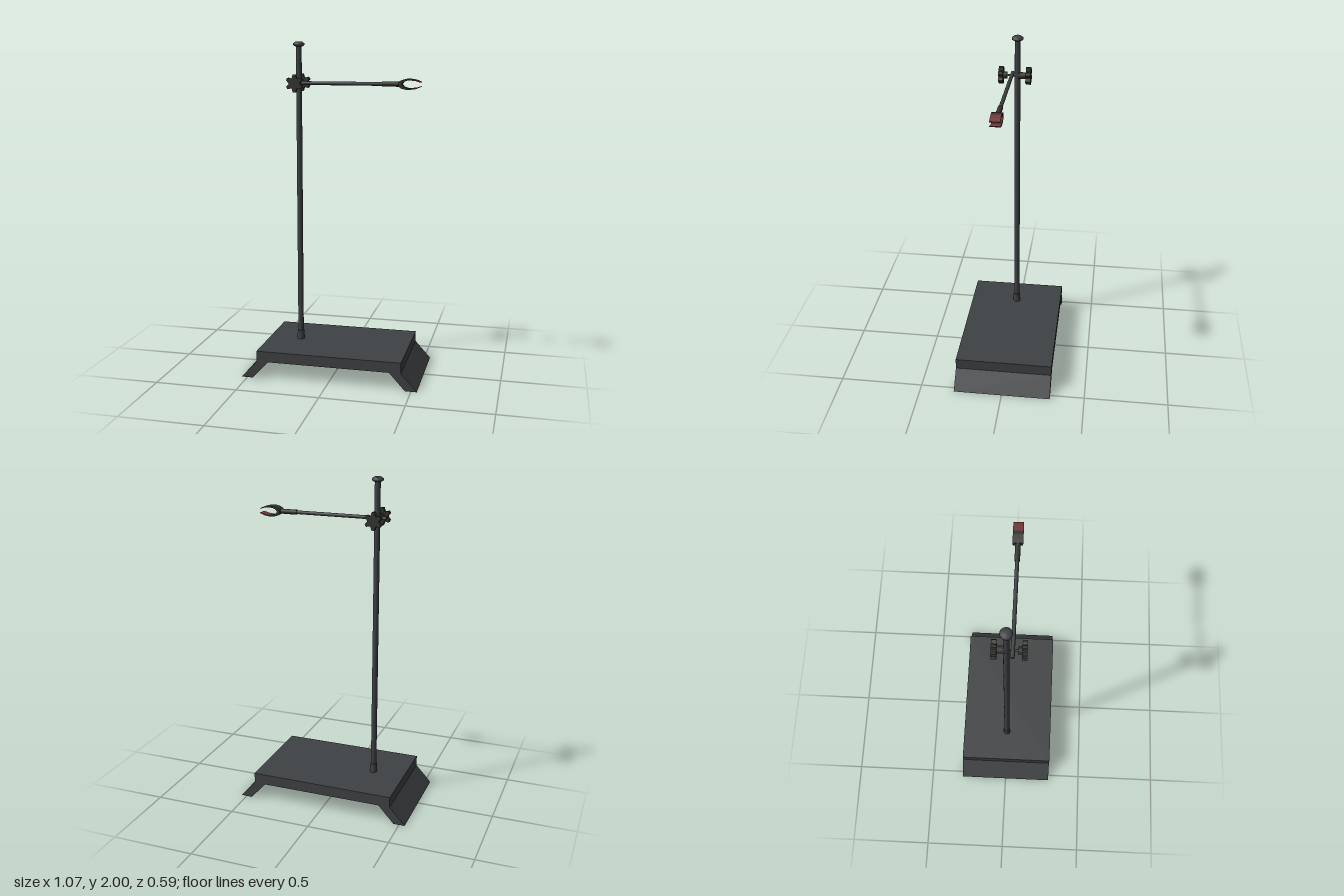
import * as THREE from 'three';

const material = (name, color) => {
  const m = new THREE.MeshStandardMaterial({ color });
  m.name = name;
  return m;
};

export function createModel() {
  const steel = material('dark grey metal', 0x3f4244);
  const black = material('blackened grip', 0x343430);
  const red = material('red padding', 0x78393a);

  const model = new THREE.Group();
  model.name = 'clampStand';
  const rodX = -0.243, rodZ = -0.003, armY = 1.76, armZ = 0.031;

  const add = (name, geometry, mat, x = 0, y = 0, z = 0, parent = model) => {
    const mesh = new THREE.Mesh(geometry, mat);
    mesh.name = name;
    mesh.position.set(x, y, z);
    parent.add(mesh);
    return mesh;
  };
  // Extrude an outline in x and y, starting at z = 0
  const prism = (points, depth) => new THREE.ExtrudeGeometry(
    new THREE.Shape(points.map(([x, y]) => new THREE.Vector2(x, y))),
    { depth, bevelEnabled: false });
  // Cylinder lying along z from z0 to z1
  const zCylinder = (r, z0, z1) => new THREE.CylinderGeometry(r, r, z1 - z0, 16)
    .rotateX(Math.PI / 2).translate(0, 0, (z0 + z1) / 2);

  // Base plate with two splayed feet
  add('basePlate', new THREE.BoxGeometry(0.88, 0.065, 0.586), steel, 0, 0.1375, 0);
  const foot = [[0.37, 0.105], [0.465, 0], [0.535, 0], [0.44, 0.105]];
  add('leftFoot', prism(foot, 0.586), steel, 0, 0, -0.293);
  add('rightFoot', prism(foot.map(([x, y]) => [-x, y]), 0.586), steel, 0, 0, -0.293);

  // Upright rod with collar and cap
  add('rod', new THREE.CylinderGeometry(0.017, 0.017, 1.81, 16), steel, rodX, 1.075, rodZ);
  add('rodCollar', new THREE.CylinderGeometry(0.021, 0.023, 0.055, 16), steel, rodX, 0.1975, rodZ);
  const cap = [[0, 1.972], [0.02, 1.972], [0.034, 1.98], [0.034, 1.99], [0.02, 2], [0, 2]];
  const capGeometry = new THREE.LatheGeometry(cap.map(([r, y]) => new THREE.Vector2(r, y)), 16);
  add('rodCap', capGeometry, steel, rodX, 0, rodZ);

  // Lobed hand knobs, front and back of the joint
  const star = [];
  for (let i = 0; i < 6; i++) {
    for (const [offset, r] of [[-0.16, 0.052], [0.16, 0.052], [0.42, 0.034], [0.63, 0.034]]) {
      const a = Math.PI / 2 + i * Math.PI / 3 + offset;
      star.push([r * Math.cos(a), r * Math.sin(a)]);
    }
  }
  const knob = (name, zStart, depth, hubStart, hubEnd) => {
    const group = new THREE.Group();
    group.name = name;
    group.position.set(rodX, armY, 0);
    add('knobWheel', prism(star, depth), black, 0, 0, zStart, group);
    add('knobHub', zCylinder(0.02, hubStart, hubEnd), black, 0, 0, 0, group);
    model.add(group);
  };
  knob('frontKnob', 0.08, 0.027, 0.058, 0.085);
  knob('backKnob', -0.083, 0.03, -0.055, -0.005);
  add('clampScrew', zCylinder(0.006, 0, 0.06), steel, rodX, armY, 0);

  // Horizontal arm and grip sleeve
  const xCylinder = (r, x0, x1, sides) => new THREE.CylinderGeometry(r, r, x1 - x0, sides)
    .rotateZ(Math.PI / 2).translate((x0 + x1) / 2, 0, 0);
  add('arm', xCylinder(0.011, -0.287, 0.37, 12), steel, 0, armY, armZ);
  add('gripSleeve', xCylinder(0.015, 0.265, 0.37, 12), black, 0, armY, armZ);

  // Pair of curved jaws with padded tips
  const jaw = [[0.365, 0], [0.382, 0], [0.392, 0.013], [0.41, 0.021], [0.432, 0.023],
    [0.432, 0.031], [0.41, 0.031], [0.385, 0.025], [0.365, 0.014]];
  const tip = [[0.432, 0.023], [0.465, 0.019], [0.492, 0.011], [0.492, 0.015],
    [0.465, 0.026], [0.432, 0.031]];
  for (const [side, s] of [['upper', 1], ['lower', -1]]) {
    const flip = points => points.map(([x, y]) => [x, s * y]);
    add(side + 'Jaw', prism(flip(jaw), 0.058), black, 0, armY, 0.001);
    add(side + 'JawPad', prism(flip(tip), 0.058), red, 0, armY, 0.001);
  }
  return model;
}
